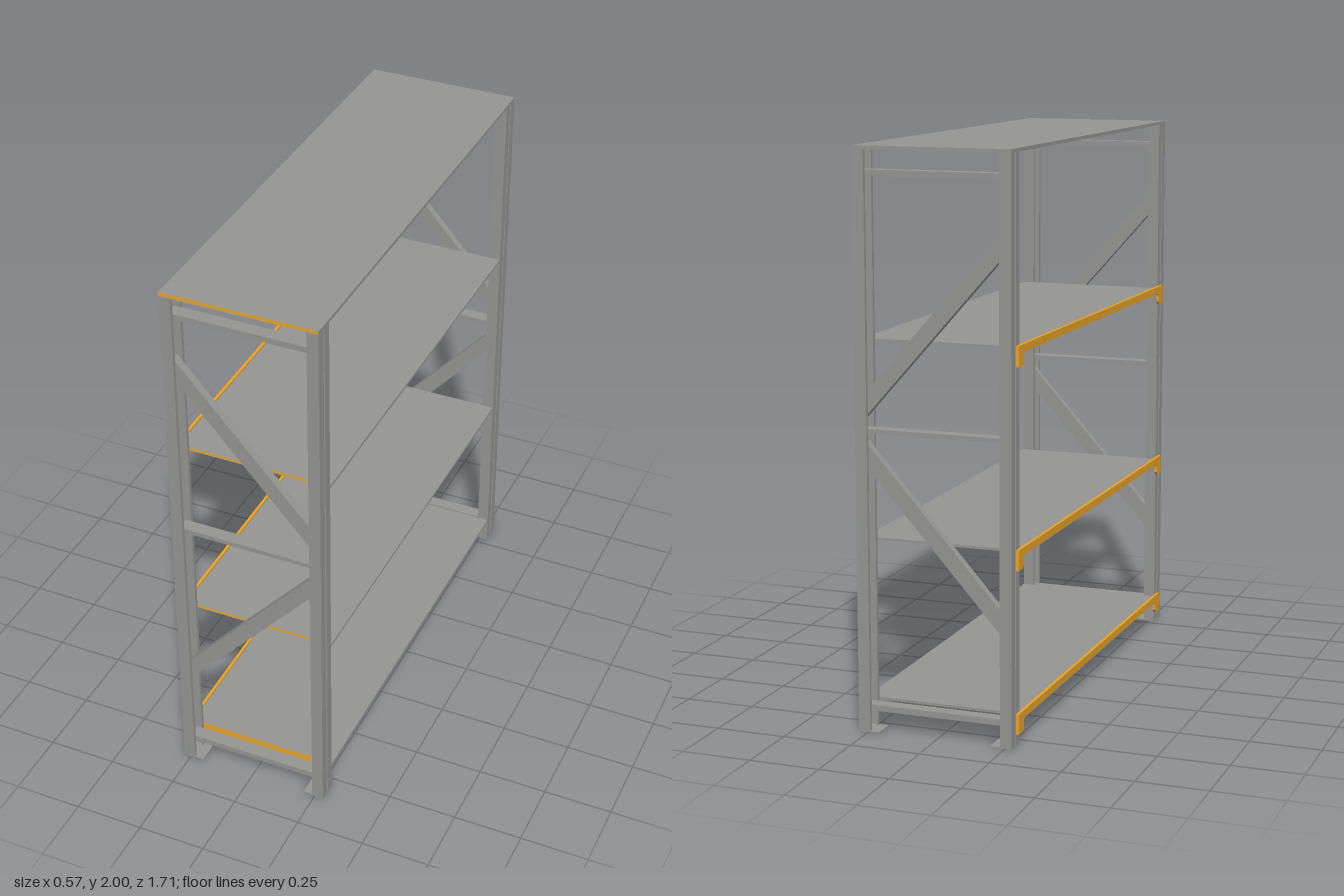
import * as THREE from 'three';

export function createModel() {
  const group = new THREE.Group();
  group.name = 'storageRack';
  const steel = new THREE.MeshStandardMaterial({ color: 0x959592, side: THREE.DoubleSide });
  steel.name = 'grey steel';
  const orange = new THREE.MeshStandardMaterial({ color: 0xe6a42a, side: THREE.DoubleSide });
  orange.name = 'orange paint';

  const X0 = -0.275, X1 = 0.283, POST = 0.042, ZC = 0.818, TOP = 2;
  const midX = (X0 + X1) / 2;

  function add(name, geometry, material, x = 0, y = 0, z = 0) {
    const mesh = new THREE.Mesh(geometry, material);
    mesh.name = name;
    mesh.position.set(x, y, z);
    group.add(mesh);
    return mesh;
  }
  const outline = pts => new THREE.Shape(pts.map(p => new THREE.Vector2(p[0], p[1])));
  const extrude = (shape, depth) =>
    new THREE.ExtrudeGeometry(shape, { depth, bevelEnabled: false, curveSegments: 6 });

  // Upright: thin-walled channel, grooved on the outside and open to the inside
  function postGeometry(sign) {
    const t = 0.004, h = 0.039, g = 0.006, d = 0.012, lip = 0.025;
    const half = [
      [d, g - t], [0, g - t + 0.002], [0, h], [POST, h], [POST, lip],
      [POST - t, lip], [POST - t, h - t], [t, h - t], [t, g + t], [d + t, g],
    ];
    const lower = half.map(p => [p[0], -p[1]]).reverse();
    const geo = extrude(outline([...half, ...lower].map(p => [p[0] * sign, p[1]])), TOP - 0.012);
    return geo.rotateX(-Math.PI / 2);
  }

  // Horizontal tie: U channel open at the bottom
  function tieGeometry(height, length) {
    const w = 0.024, t = 0.003;
    const geo = extrude(outline([
      [-w, 0], [-w, height], [w, height], [w, 0],
      [w - t, 0], [w - t, height - t], [-w + t, height - t], [-w + t, 0],
    ]), length);
    return geo.rotateY(Math.PI / 2).translate(-length / 2, 0, 0);
  }

  // Diagonal strut with vertical cut ends, given its lower edge at each post
  function diagonalGeometry(yLeft, yRight) {
    const xl = X0 + POST, xr = X1 - POST, reach = 0.015, h = 0.083;
    const k = (yRight - yLeft) / (xr - xl);
    const a = yLeft - k * reach, b = yRight + k * reach;
    const geo = extrude(outline([
      [xl - reach, a], [xr + reach, b], [xr + reach, b + h], [xl - reach, a + h],
    ]), 0.03);
    return geo.translate(0, 0, -0.015);
  }

  // End frames
  for (const end of [1, -1]) {
    const z = end * ZC;
    for (const [x, sign] of [[X0, 1], [X1, -1]]) {
      add('post', postGeometry(sign), steel, x, 0, z);
      add('footPlate', new THREE.BoxGeometry(0.074, 0.005, 0.078), steel, x + sign * 0.039, 0.0025, z);
    }
    for (const [y, h] of [[1.9, 0.021], [1.04, 0.016], [0.074, 0.021]]) {
      add('horizontalTie', tieGeometry(h, X1 - X0 - 0.045), steel, midX, y, z);
    }
    add('upperDiagonal', diagonalGeometry(1.645, 1.11), steel, 0, 0, z);
    add('lowerDiagonal', diagonalGeometry(0.38, 0.911), steel, 0, 0, z);
  }

  // Shelf panels with the front end edge painted (the +z box face)
  function shelf(name, top, halfLength, thickness) {
    const geo = new THREE.BoxGeometry(X1 - X0, thickness, halfLength * 2);
    add(name, geo, [steel, steel, steel, steel, orange, steel], midX, top - thickness / 2, 0);
  }
  shelf('topPanel', TOP, 0.857, 0.012);

  // Back beam: slim plate with a rounded drop bracket at each end
  const L = 0.814, inner = 0.764, r = 0.012, drop = -0.028, bottom = -0.071;
  const beam = new THREE.Shape();
  beam.moveTo(-L, 0);
  beam.lineTo(-L, bottom);
  beam.lineTo(-inner - r, bottom);
  beam.lineTo(-inner, bottom + r);
  beam.lineTo(-inner, drop - r);
  beam.quadraticCurveTo(-inner, drop, -inner + r, drop);
  beam.lineTo(inner - r, drop);
  beam.quadraticCurveTo(inner, drop, inner, drop - r);
  beam.lineTo(inner, bottom + r);
  beam.lineTo(inner + r, bottom);
  beam.lineTo(L, bottom);
  beam.lineTo(L, 0);
  beam.closePath();
  const beamGeo = extrude(beam, 0.01).rotateY(-Math.PI / 2);

  // The beam stands a little above the shelf it carries
  for (const top of [1.361, 0.677, 0.111]) {
    shelf('shelf', top - 0.008, 0.778, 0.009);
    add('beam', beamGeo, orange, X0, top, 0);
  }

  // Painted lip under the front end of the lowest shelf
  add('shelfLip', new THREE.BoxGeometry(X1 - X0 - 2 * POST, 0.02, 0.004), orange, midX, 0.084, 0.776);
  return group;
}
